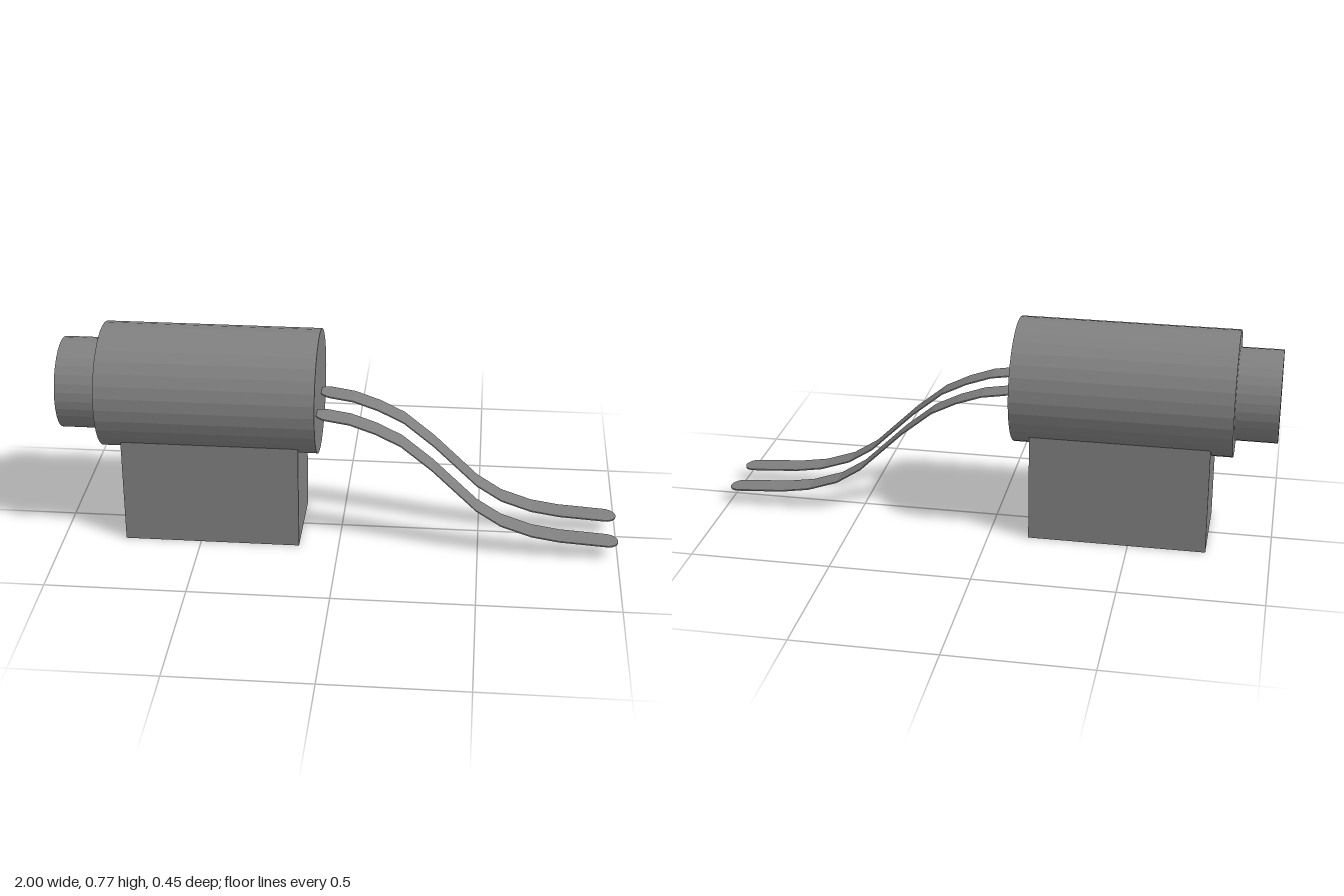
import * as THREE from 'three';

const material = new THREE.MeshStandardMaterial({ color: 0x808080, flatShading: true });

function addMesh(group, name, geometry, x, y, z) {
  const mesh = new THREE.Mesh(geometry, material);
  mesh.name = name;
  mesh.position.set(x, y, z);
  group.add(mesh);
}

// Cylinder lying along x between two ends
function lyingCylinder(radius, x0, x1) {
  return new THREE.CylinderGeometry(radius, radius, x1 - x0, 32)
    .rotateZ(Math.PI / 2).translate((x0 + x1) / 2, 0, 0);
}

// Thin ribbon with rounded ends, bent in straight pieces along an S-shaped path
function ribbonGeometry(width, thickness) {
  const path = [
    [-0.085, 0.524], [0.04, 0.504], [0.13, 0.472], [0.22, 0.427], [0.33, 0.337],
    [0.49, 0.182], [0.58, 0.124], [0.69, 0.086], [0.79, 0.07], [1, 0.056],
  ];
  const x0 = path[0][0], x1 = path[path.length - 1][0], r = width / 2, cap = 6;
  const heightAt = (x) => {
    const i = Math.max(1, path.findIndex((point) => point[0] >= x));
    const [ax, ay] = path[i - 1], [bx, by] = path[i];
    return THREE.MathUtils.mapLinear(x, ax, bx, ay, by);
  };

  // Stations [x, half width]: close together round each end, then one at each bend
  const start = [], end = [];
  for (let i = 0; i <= cap; i++) {
    const a = (i / cap) * Math.PI / 2;
    const inset = r * (1 - Math.cos(a)), half = r * Math.sin(a);
    start.push([x0 + inset, half]);
    end.unshift([x1 - inset, half]);
  }
  const bends = path.slice(1, -1).map(([x]) => [x, r]);
  const stations = [...start, ...bends, ...end];

  const n = stations.length - 1;
  const geometry = new THREE.BoxGeometry(n, thickness, 2, n, 1, 1);
  const p = geometry.attributes.position;
  for (let i = 0; i < p.count; i++) {
    const [x, half] = stations[Math.round(p.getX(i) + n / 2)];
    p.setXYZ(i, x, heightAt(x) + p.getY(i), p.getZ(i) * half);
  }
  geometry.computeVertexNormals();
  return geometry;
}

export function createModel() {
  const group = new THREE.Group();
  const axisY = 0.547;

  // Barrel and its narrower end cap
  addMesh(group, 'barrel', lyingCylinder(0.223, -0.85, -0.078), 0, axisY, 0);
  addMesh(group, 'endCap', lyingCylinder(0.163, -1, -0.85), 0, axisY, 0);

  // Block base, reaching up into the barrel
  addMesh(group, 'base', new THREE.BoxGeometry(0.632, 0.42, 0.322), -0.459, 0.21, 0);

  // Two ribbons leaving the barrel's face
  const ribbon = ribbonGeometry(0.085, 0.005);
  addMesh(group, 'frontRibbon', ribbon, 0, 0, 0.13);
  addMesh(group, 'backRibbon', ribbon, 0, 0, -0.051);

  return group;
}
